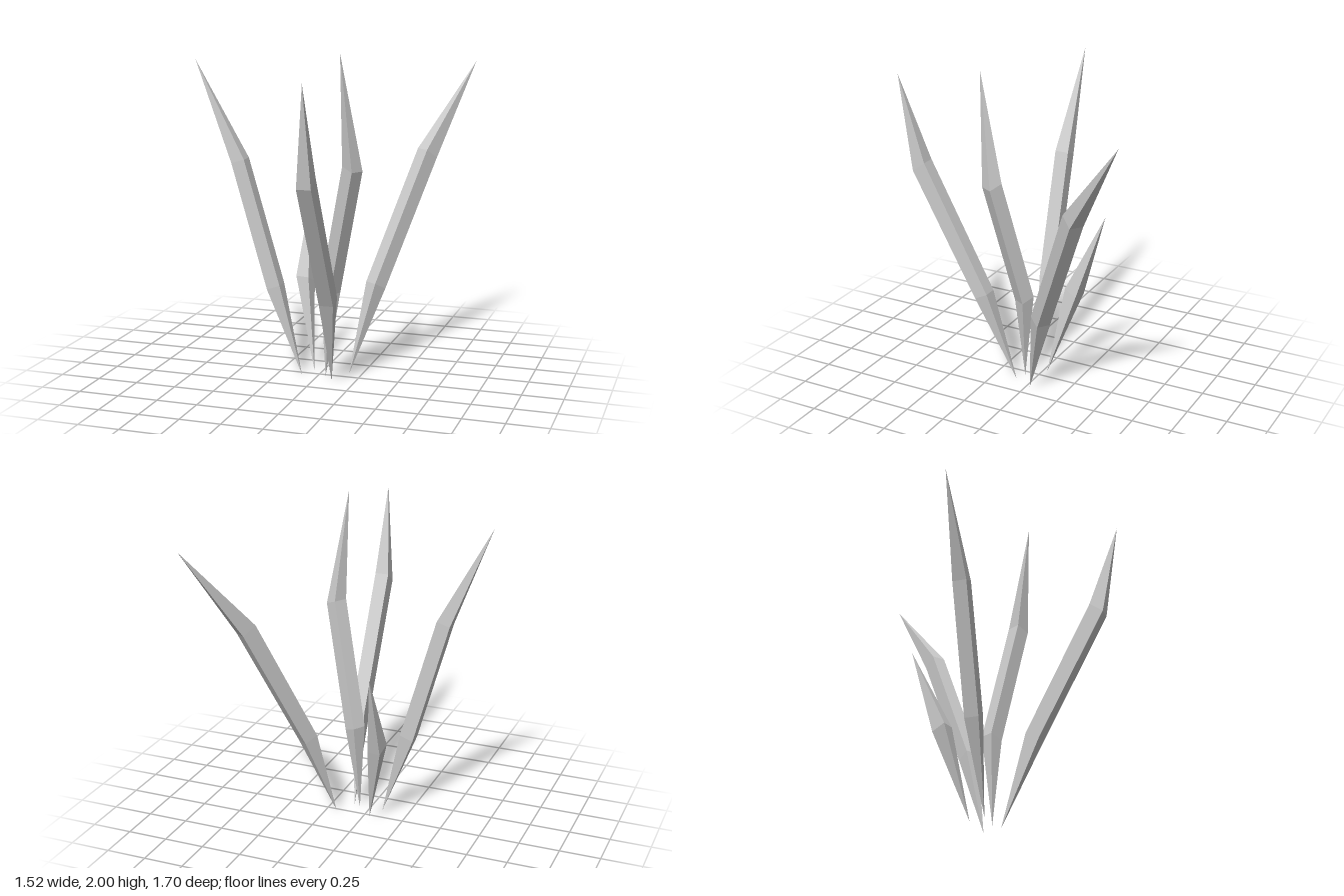
import * as THREE from 'three';

const HALF = 0.043; // half the thickness of a blade

// Square section: centre, horizontal outward direction, drop of the outer edge
function section([x, y, z], [dx, dz], drop) {
  const corners = [[1, 1], [-1, 1], [-1, -1], [1, -1]];
  return corners.map(([o, s]) => new THREE.Vector3(
    x + HALF * (o * dx * 0.94 + s * dz),
    y - o * drop / 2,
    z + HALF * (o * dz * 0.94 - s * dx)
  ));
}

// Four-sided blade pointed at both ends, bent at each section
function bladeGeometry({ base, bends, tip, out }) {
  const b = new THREE.Vector3(...base), t = new THREE.Vector3(...tip);
  const len = Math.hypot(...out);
  const dir = out.map((v) => v / len);
  const rings = bends.map(([x, y, z, drop]) => section([x, y, z], dir, drop));
  const points = [];
  const first = rings[0], last = rings[rings.length - 1];
  for (let i = 0; i < 4; i++) {
    const j = (i + 1) % 4;
    points.push(b, first[j], first[i]);
    for (let k = 0; k + 1 < rings.length; k++) {
      const lo = rings[k], hi = rings[k + 1];
      points.push(lo[i], lo[j], hi[j], lo[i], hi[j], hi[i]);
    }
    points.push(last[i], last[j], t);
  }
  const geometry = new THREE.BufferGeometry().setFromPoints(points);
  geometry.computeVertexNormals();
  return geometry;
}

// Each bend is x, y, z of the centre and the drop of the outer edge
const BLADES = [
  {
    name: 'rightBlade', out: [-1, 0],
    base: [-0.09, 0.01, 0.07], tip: [-0.76, 1.92, 0.07],
    bends: [[-0.26, 0.555, 0.066, 0.03], [-0.48, 1.32, 0.07, 0.025]],
  },
  {
    name: 'frontBlade', out: [0, 1],
    base: [0.11, 0, 0.1], tip: [0.18, 1.89, 0.85],
    bends: [[0.15, 0.555, 0.3, 0.04], [0.155, 1.33, 0.715, 0.06]],
  },
  {
    name: 'backLeftBlade', out: [0.58, -0.82],
    base: [0.18, 0.01, -0.03], tip: [0.76, 1.87, -0.85],
    bends: [[0.307, 0.55, -0.17, 0.04], [0.54, 1.33, -0.49, 0.055]],
  },
  {
    name: 'middleBlade', out: [0.87, 0.5],
    base: [0.06, 0.01, 0.065], tip: [0.21, 2, 0.27],
    bends: [[0.087, 0.555, 0.055, 0.03], [0.257, 1.325, 0.175, 0.03]],
  },
  {
    name: 'shortBlade', out: [0.19, -0.98],
    base: [-0.045, 0.01, -0.035], tip: [-0.17, 1.07, -0.36],
    bends: [[-0.147, 0.555, -0.17, 0.04]],
  },
];

export function createModel() {
  const model = new THREE.Group();
  model.name = 'grassTuft';
  const material = new THREE.MeshStandardMaterial({ color: 0xcccccc, flatShading: true });
  for (const blade of BLADES) {
    const mesh = new THREE.Mesh(bladeGeometry(blade), material);
    mesh.name = blade.name;
    model.add(mesh);
  }
  return model;
}
